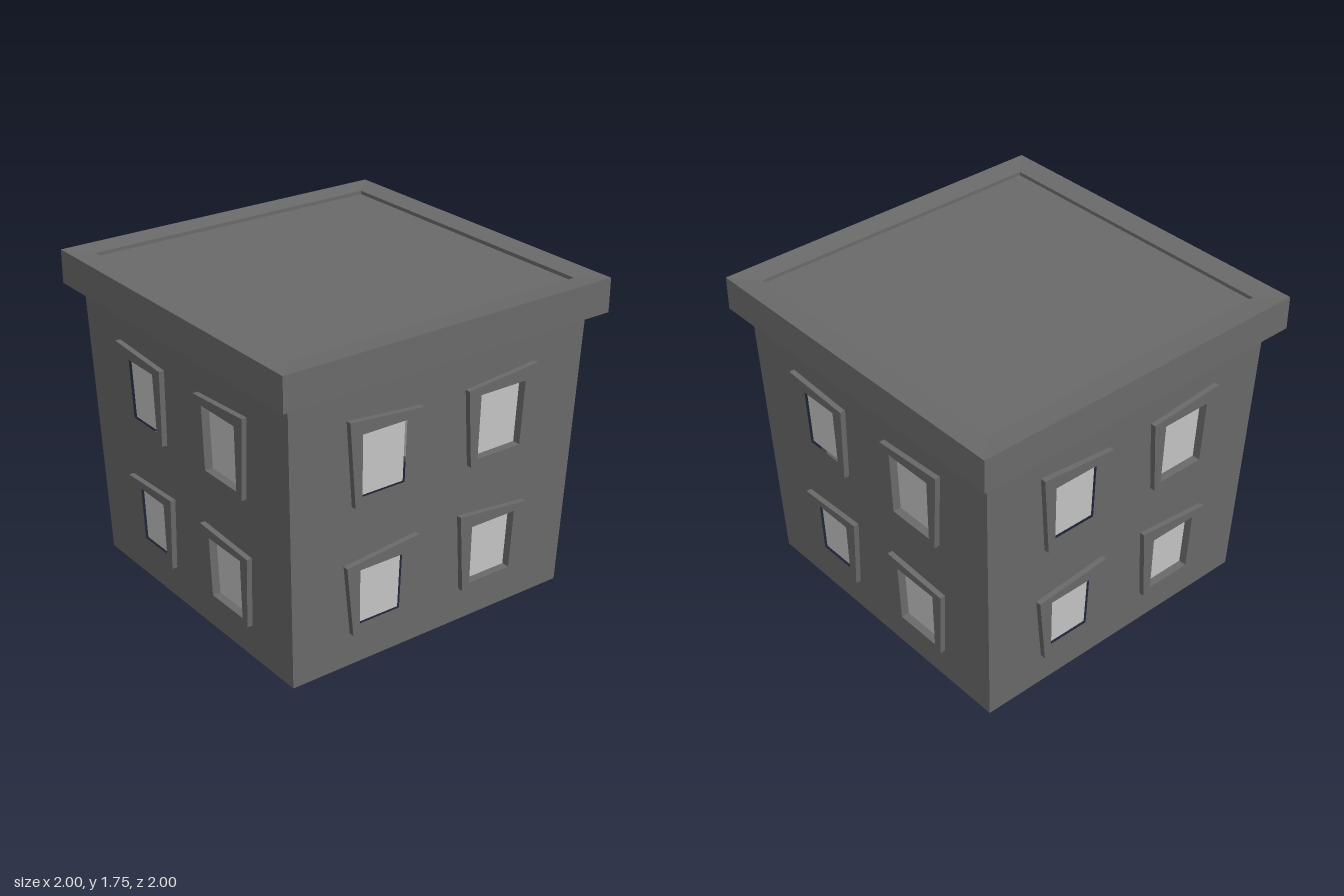
import * as THREE from 'three';

const WALL_TOP = 1.58, BASE = 0.87, SLOPE = 0.05 / 1.57;

// Outer frame corners and opening corners of the left-hand windows, as [across, up]
const FRONT = [
  { outer: [[-0.58, 1.37], [-0.155, 1.345], [-0.18, 0.915], [-0.54, 0.915]],
    inner: [[-0.51, 1.305], [-0.225, 1.305], [-0.225, 0.95], [-0.50, 0.95]] },
  { outer: [[-0.56, 0.595], [-0.14, 0.615], [-0.175, 0.19], [-0.53, 0.19]],
    inner: [[-0.495, 0.56], [-0.215, 0.56], [-0.22, 0.225], [-0.49, 0.225]] },
];
const SIDE = [
  { outer: [[-0.585, 1.385], [-0.14, 1.345], [-0.18, 0.915], [-0.54, 0.915]],
    inner: [[-0.51, 1.305], [-0.22, 1.305], [-0.22, 0.95], [-0.50, 0.95]] },
  { outer: [[-0.58, 0.595], [-0.135, 0.64], [-0.175, 0.19], [-0.53, 0.19]],
    inner: [[-0.50, 0.56], [-0.215, 0.56], [-0.22, 0.225], [-0.49, 0.225]] },
];

export function createModel() {
  const model = new THREE.Group();
  model.name = 'building';
  const stone = new THREE.MeshStandardMaterial({ color: 0x6b6b6c });
  stone.name = 'dark grey stone';
  const glass = new THREE.MeshStandardMaterial({ color: 0xc8c8c8 });
  glass.name = 'pale grey glass';

  const add = (parent, geometry, material, name) => {
    const mesh = new THREE.Mesh(geometry, material);
    mesh.name = name;
    parent.add(mesh);
    return mesh;
  };
  const polygon = (points, mirror) =>
    new THREE.Shape(points.map(([x, y]) => new THREE.Vector2(x * mirror, y)));

  // Move a flat piece onto the outward-leaning wall plane
  const lean = (geometry, offset = 0) => {
    const p = geometry.attributes.position;
    for (let i = 0; i < p.count; i++) {
      p.setZ(i, p.getZ(i) + BASE + SLOPE * p.getY(i) + offset);
    }
    geometry.computeVertexNormals();
    return geometry;
  };
  const extrude = (shape, depth) =>
    new THREE.ExtrudeGeometry(shape, { depth, bevelEnabled: false });

  // One wall with its four framed windows
  const makeWall = (windows) => {
    const wall = new THREE.Group();
    const top = BASE + SLOPE * WALL_TOP;
    const face = polygon([[-BASE, 0], [BASE, 0], [top, WALL_TOP], [-top, WALL_TOP]], 1);
    for (const { outer, inner } of windows) {
      for (const mirror of [1, -1]) {
        const hole = polygon(inner, mirror);
        face.holes.push(hole);
        const frame = polygon(outer, mirror);
        frame.holes.push(hole);
        add(wall, lean(extrude(frame, 0.05), -0.02), stone, 'windowFrame');
        add(wall, lean(extrude(polygon(inner, mirror), 0.005), -0.02), glass, 'windowPane');
      }
    }
    add(wall, lean(new THREE.ShapeGeometry(face)), stone, 'wallFace');
    return wall;
  };

  ['frontWall', 'leftWall', 'backWall', 'rightWall'].forEach((name, i) => {
    const wall = makeWall(i % 2 ? SIDE : FRONT);
    wall.name = name;
    wall.rotation.y = i * Math.PI / 2;
    model.add(wall);
  });

  // Underside
  const floor = add(model, new THREE.PlaneGeometry(2 * BASE, 2 * BASE), stone, 'underside');
  floor.rotation.x = Math.PI / 2;

  // Square roof slab with a raised rim around a shallow recess
  const profile = [[0, 1.57], [1, 1.57], [1, 1.755], [0.87, 1.745], [0.87, 1.725], [0, 1.725]]
    .map(([r, y]) => new THREE.Vector2(r * Math.SQRT2, y));
  const roof = new THREE.LatheGeometry(profile, 4, Math.PI / 4).toNonIndexed();
  roof.computeVertexNormals();
  add(model, roof, stone, 'roof');

  return model;
}
